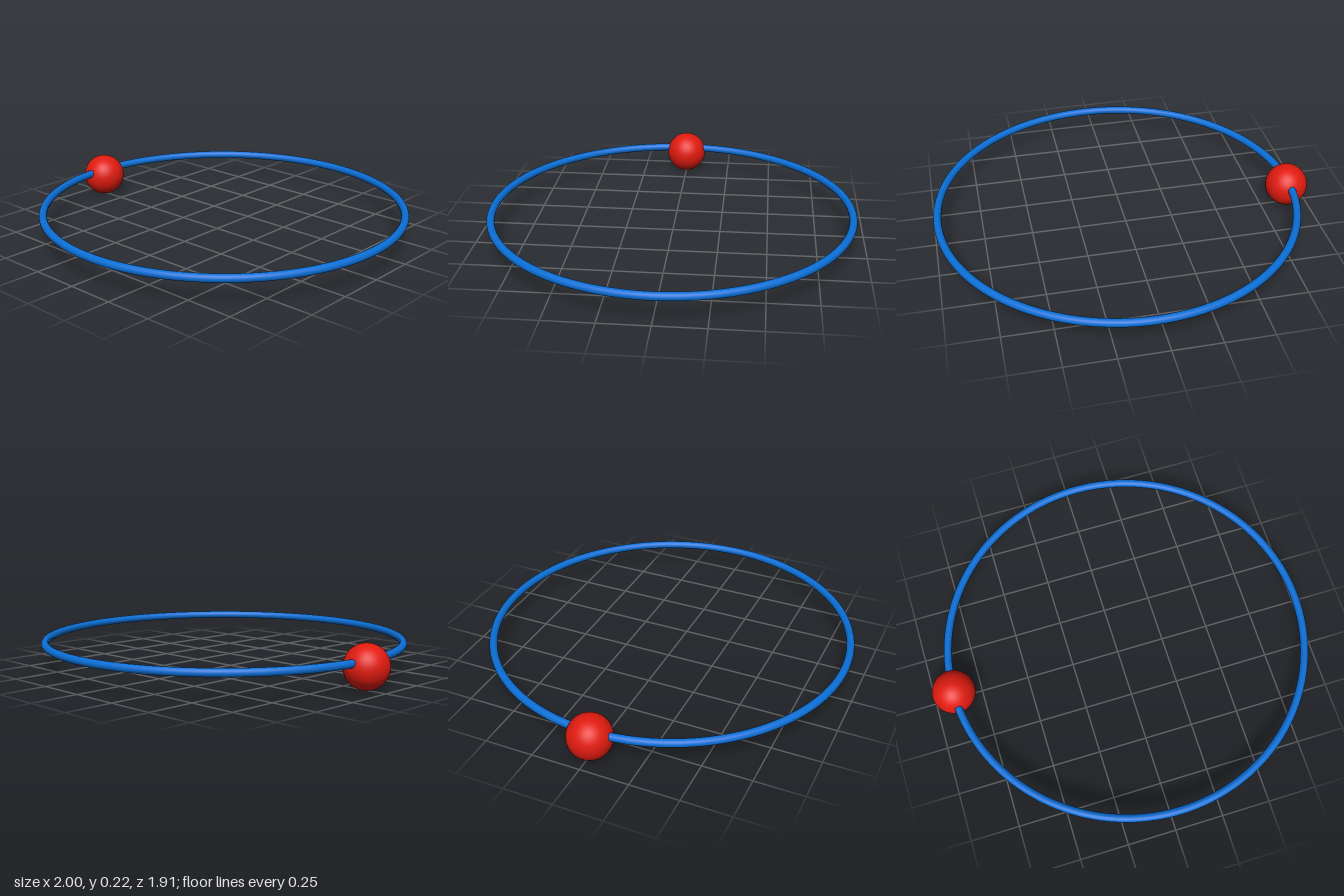
import * as THREE from 'three';

export function createModel() {
  const group = new THREE.Group();

  // Thin horizontal hoop, offset so the bead balances the width
  const hoop = new THREE.Mesh(
    new THREE.TorusGeometry(0.934, 0.0205, 24, 160),
    new THREE.MeshStandardMaterial({ color: 0x0b6fd6 })
  );
  hoop.name = 'hoop';
  hoop.rotation.x = Math.PI / 2;
  hoop.position.set(0.0455, 0.139, 0);
  group.add(hoop);

  // Round bead threaded on the hoop, slightly below its centre line
  const bead = new THREE.Mesh(
    new THREE.SphereGeometry(0.112, 48, 32),
    new THREE.MeshStandardMaterial({ color: 0xe01b0f })
  );
  bead.name = 'bead';
  bead.position.set(-0.888, 0.112, 0);
  group.add(bead);

  return group;
}
